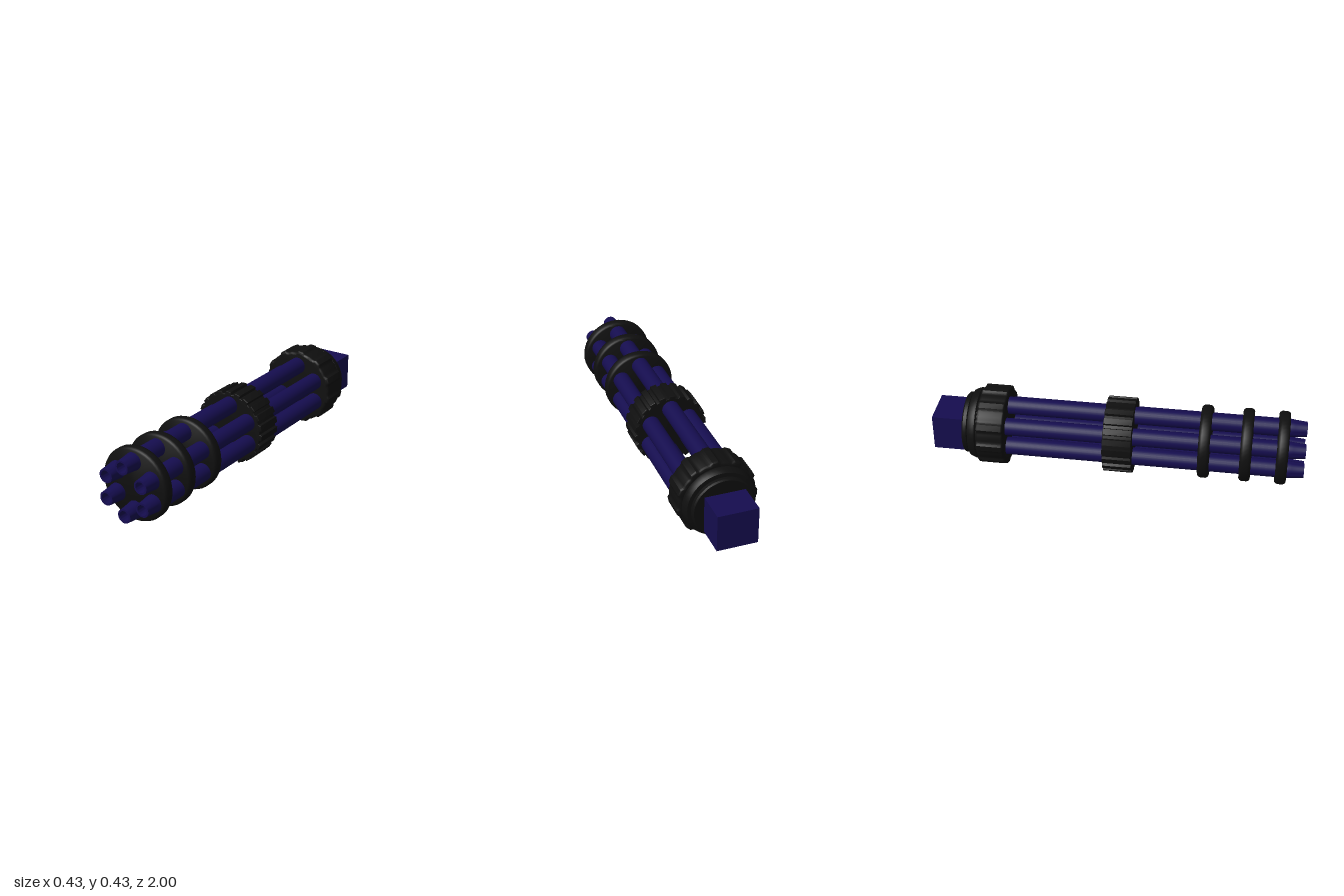
import * as THREE from 'three';
import { toCreasedNormals } from 'three/addons/utils/BufferGeometryUtils.js';

const CY = 0.215; // height of the main axis
const navy = new THREE.MeshStandardMaterial({ color: 0x150d4f });
const black = new THREE.MeshStandardMaterial({ color: 0x0f0f0f });

// Turned part along z; profile is [radius, z] from back to front
function turned(name, profile, material, x, y, segments) {
  const points = profile.map(([r, z]) => new THREE.Vector2(r, z));
  const geometry = new THREE.LatheGeometry(points, segments).rotateX(Math.PI / 2);
  const mesh = new THREE.Mesh(toCreasedNormals(geometry, 0.6), material);
  mesh.name = name;
  mesh.position.set(x, y, 0);
  return mesh;
}

// Ring with raised teeth, extruded along z between z0 and z1.
// steps lists [fraction of one tooth pitch, radius].
function toothed(name, count, steps, z0, z1, bevel, phase) {
  const points = [];
  for (let i = 0; i < count; i++) {
    for (const [f, r] of steps) {
      const a = phase + ((i + f) / count) * Math.PI * 2;
      points.push(new THREE.Vector2(Math.cos(a) * (r - bevel), Math.sin(a) * (r - bevel)));
    }
  }
  const geometry = new THREE.ExtrudeGeometry(new THREE.Shape(points), {
    depth: z1 - z0 - 2 * bevel,
    bevelEnabled: true,
    bevelSize: bevel,
    bevelThickness: bevel,
    bevelSegments: 3,
  });
  const mesh = new THREE.Mesh(toCreasedNormals(geometry, 0.6), black);
  mesh.name = name;
  mesh.position.set(0.002, CY, z0 + bevel);
  return mesh;
}

export function createModel() {
  const model = new THREE.Group();
  model.name = 'rotaryBarrelAssembly';

  // Six barrels with tapered, hollow muzzles
  const barrels = new THREE.Group();
  barrels.name = 'barrels';
  const centres = [
    [0.003, 0.345], [0.113, 0.272], [0.12, 0.152],
    [0.008, 0.086], [-0.1, 0.152], [-0.097, 0.275],
  ];
  const barrelProfile = [
    [0, -0.64], [0.047, -0.64], [0.047, 0.915], [0.044, 0.935], [0.041, 0.965],
    [0.038, 1], [0.028, 1], [0.026, 0.93], [0, 0.93],
  ];
  for (const [x, y] of centres) {
    barrels.add(turned('barrel', barrelProfile, navy, x, y, 28));
  }
  model.add(barrels);

  // Three rounded spacer discs near the front
  for (const z of [0.88, 0.69, 0.47]) {
    const profile = [
      [0, z - 0.03], [0.183, z - 0.03], [0.191, z - 0.025], [0.196, z - 0.014],
      [0.196, z + 0.014], [0.191, z + 0.025], [0.183, z + 0.03], [0, z + 0.03],
    ];
    model.add(turned('spacerDisc', profile, black, 0.003, CY, 48));
  }

  // Ribbed clamp at mid length
  model.add(toothed('ribbedClamp', 22,
    [[0, 0.189], [0.38, 0.189], [0.46, 0.203], [0.92, 0.203]], -0.065, 0.09, 0.003, 0));

  // Rear collar with eleven grip bumps
  model.add(toothed('rearCollar', 11, [
    [-0.5, 0.206], [-0.35, 0.205], [-0.22, 0.205], [-0.15, 0.209], [-0.09, 0.215],
    [0.09, 0.215], [0.15, 0.209], [0.22, 0.205], [0.35, 0.205],
  ], -0.745, -0.595, 0.013, 1.5));

  // Stepped end plates behind the collar
  model.add(turned('endPlates', [
    [0, -0.83], [0.158, -0.83], [0.165, -0.823], [0.165, -0.805], [0.155, -0.797],
    [0.18, -0.795], [0.186, -0.785], [0.193, -0.765], [0.193, -0.755],
    [0.185, -0.748], [0.185, -0.72], [0, -0.72],
  ], black, 0.002, CY, 48));

  // Square drive block at the back
  const block = new THREE.Mesh(new THREE.BoxGeometry(0.215, 0.2, 0.2), navy);
  block.name = 'driveBlock';
  block.position.set(0, 0.202, -0.9);
  model.add(block);

  return model;
}
